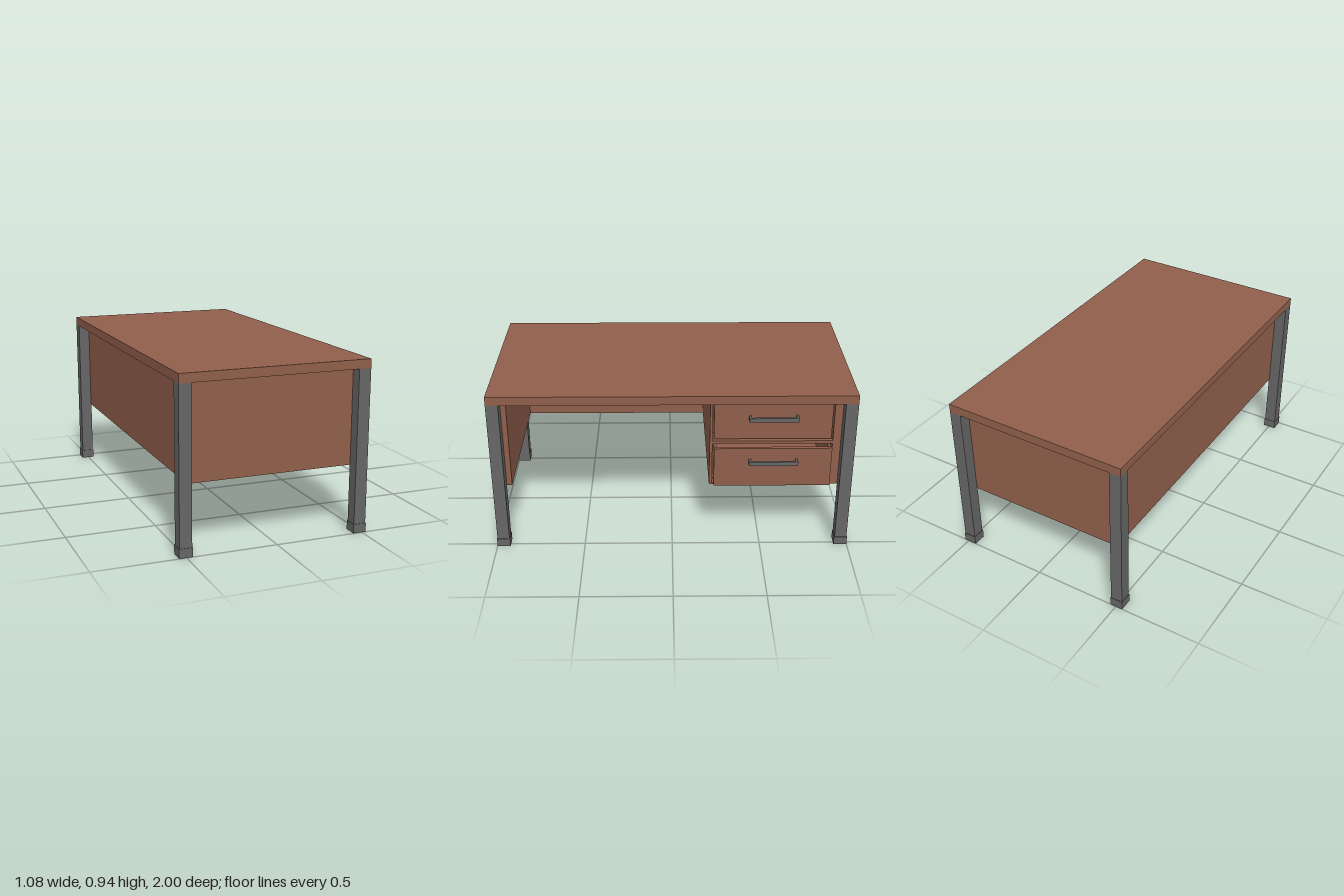
import * as THREE from 'three';

const wood = new THREE.MeshStandardMaterial({ color: 0x905f4b });
const metal = new THREE.MeshStandardMaterial({ color: 0x666666 });

// Box given by its extents along each axis
function slab(parent, name, material, [x0, x1], [y0, y1], [z0, z1]) {
  const mesh = new THREE.Mesh(new THREE.BoxGeometry(x1 - x0, y1 - y0, z1 - z0), material);
  mesh.position.set((x0 + x1) / 2, (y0 + y1) / 2, (z0 + z1) / 2);
  mesh.name = name;
  parent.add(mesh);
  return mesh;
}

// Open-topped drawer whose face lies at x = front, with a bar handle
function makeDrawer(name, front, y0, y1, handleY) {
  const drawer = new THREE.Group();
  drawer.name = name;
  const z0 = -0.878, z1 = -0.23, back = front - 0.8, inner = front - 0.02;
  const top = y1 - 0.012;
  slab(drawer, 'drawerFront', wood, [inner, front], [y0, y1], [z0, z1]);
  slab(drawer, 'drawerBottom', wood, [back, inner], [y0, y0 + 0.015], [z0, z1]);
  slab(drawer, 'drawerBack', wood, [back, back + 0.015], [y0 + 0.015, top], [z0, z1]);
  slab(drawer, 'drawerSide', wood, [back + 0.015, inner], [y0 + 0.015, top], [z0, z0 + 0.015]);
  slab(drawer, 'drawerSide', wood, [back + 0.015, inner], [y0 + 0.015, top], [z1 - 0.015, z1]);

  // Handle: bar on two posts
  const ys = [handleY - 0.012, handleY + 0.012];
  slab(drawer, 'handleBar', metal, [front + 0.028, front + 0.04], ys, [-0.69, -0.42]);
  for (const z of [-0.69, -0.432]) {
    slab(drawer, 'handlePost', metal, [front, front + 0.028], ys, [z, z + 0.012]);
  }
  return drawer;
}

export function createModel() {
  const desk = new THREE.Group();
  desk.name = 'desk';
  const left = -0.537, right = 0.52, end = 0.997;
  const legW = 0.068, top = 0.895, low = 0.365;

  slab(desk, 'tabletop', wood, [left, right], [top, 0.945], [-end, end]);

  // Legs with slightly wider feet
  for (const x of [left + legW / 2, right - legW / 2]) {
    for (const z of [-end + legW / 2, end - legW / 2]) {
      const h = legW / 2, f = h + 0.003;
      slab(desk, 'leg', metal, [x - h, x + h], [0.05, top], [z - h, z + h]);
      slab(desk, 'foot', metal, [x - f, x + f], [0, 0.05], [z - f, z + f]);
    }
  }

  // Panels closing both ends and the long back side
  const px0 = left + legW, px1 = right - legW, pz = end - legW;
  slab(desk, 'endPanel', wood, [px0, px1], [low, top], [pz - 0.03, pz + 0.003]);
  slab(desk, 'endPanel', wood, [px0, px1], [low, top], [-pz - 0.003, -pz + 0.03]);
  slab(desk, 'modestyPanel', wood, [px0 - 0.003, px0 + 0.03], [low, top], [-pz, pz]);

  // Drawer cabinet
  const cabinet = new THREE.Group();
  cabinet.name = 'drawerCabinet';
  const cx = [px0 + 0.03, px1], cz = [-0.885, -0.222];
  slab(cabinet, 'cabinetSide', wood, cx, [low, top], [-0.222, -0.207]);
  slab(cabinet, 'cabinetSide', wood, cx, [low, top], [-0.9, -0.885]);
  slab(cabinet, 'cabinetBottom', wood, cx, [low, 0.373], cz);
  slab(cabinet, 'cabinetDivider', wood, cx, [0.622, 0.639], cz);
  slab(cabinet, 'cabinetTop', wood, cx, [0.887, top], cz);

  // Upper drawer shut, lower drawer pulled out a little
  cabinet.add(makeDrawer('upperDrawer', 0.442, 0.648, 0.88, 0.78));
  cabinet.add(makeDrawer('lowerDrawer', 0.497, 0.381, 0.616, 0.54));
  desk.add(cabinet);

  return desk;
}
